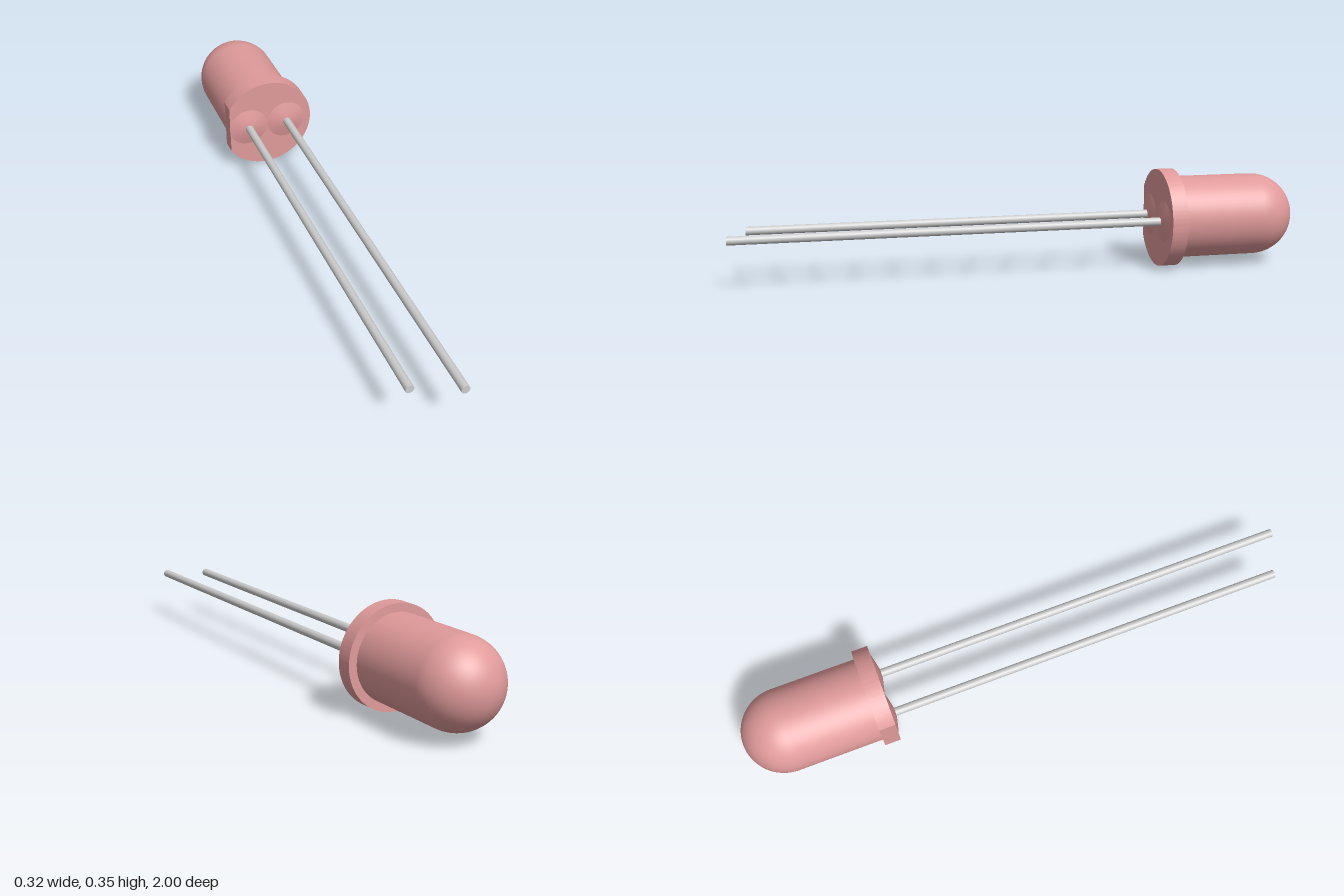
import * as THREE from 'three';
import { toCreasedNormals } from 'three/addons/utils/BufferGeometryUtils.js';

const CX = -0.013, CY = 0.174;      // axis of the lens
const BASE_Z = -0.498;              // underside of the rim, facing +z
const RIM_R = 0.174, RIM_T = 0.057;
const BODY_R = 0.146;
const LEAD_R = 0.0145;

export function createModel() {
  const group = new THREE.Group();
  const plastic = new THREE.MeshStandardMaterial({ color: 0xe09a9a });
  const metal = new THREE.MeshStandardMaterial({ color: 0xcccccc });

  const add = (name, geometry, material, x, y, z) => {
    const mesh = new THREE.Mesh(geometry, material);
    mesh.name = name;
    mesh.position.set(x, y, z);
    group.add(mesh);
  };

  // Rim: disc with one flat side
  const flat = Math.acos(-0.147 / RIM_R);
  const outline = new THREE.Shape();
  outline.absarc(0, 0, RIM_R, -flat, flat, false);
  outline.closePath();
  const rim = new THREE.ExtrudeGeometry(outline, { depth: RIM_T, bevelEnabled: false, curveSegments: 72 });
  add('rim', toCreasedNormals(rim, Math.PI / 6), plastic, CX, CY, BASE_Z - RIM_T);

  // Lens: straight barrel ending in a hemisphere, pointing to -z
  const barrel = 0.356;
  const profile = [new THREE.Vector2(BODY_R, 0.03)];
  for (let i = 0; i <= 20; i++) {
    const a = (i / 20) * Math.PI / 2;
    profile.push(new THREE.Vector2(BODY_R * Math.cos(a), barrel + BODY_R * Math.sin(a)));
  }
  add('lens', new THREE.LatheGeometry(profile, 64).rotateX(-Math.PI / 2), plastic, CX, CY, BASE_Z);

  // Leads, each rising from a shallow mound on the underside
  for (const [side, x, endZ] of [['right', -0.088, 0.94], ['left', 0.061, 1]]) {
    const mound = [[0.0735, 0], [0.055, 0.005], [0.035, 0.0098], [LEAD_R, 0.014], [0, 0.0145]]
      .map(([r, h]) => new THREE.Vector2(r, h));
    add(side + 'Mound', new THREE.LatheGeometry(mound, 48).rotateX(Math.PI / 2), plastic, x, CY, BASE_Z);

    const length = endZ - BASE_Z;
    const lead = new THREE.CylinderGeometry(LEAD_R, LEAD_R, length, 24).rotateX(Math.PI / 2);
    add(side + 'Lead', lead, metal, x, CY, BASE_Z + length / 2);
  }
  return group;
}
